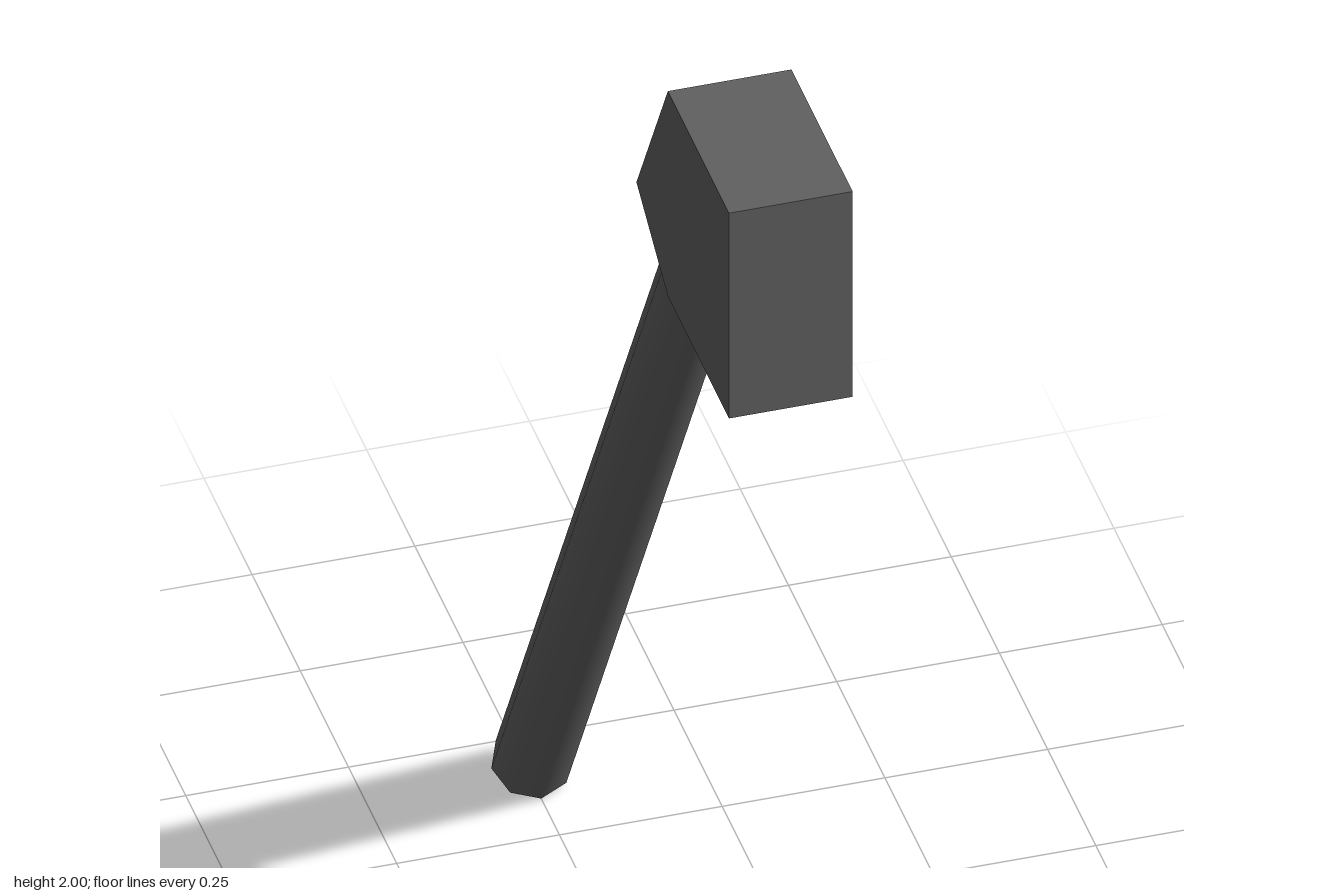
import * as THREE from 'three';

export function createModel() {
  const group = new THREE.Group();
  const darkGrey = new THREE.MeshStandardMaterial({ color: 0x606060 });
  darkGrey.name = 'darkGrey';

  // Head: five-sided side profile (z, y) extruded across the width
  const width = 0.19;
  const profile = [[0.7, 1.625], [0.7, 2], [0.383, 2], [0.22, 1.719], [0.383, 1.625]];
  const shape = new THREE.Shape(profile.map(([z, y]) => new THREE.Vector2(z, y)));
  const headGeometry = new THREE.ExtrudeGeometry(shape, { depth: width, bevelEnabled: false });
  headGeometry.translate(0, 0, -width / 2).rotateY(-Math.PI / 2);
  const head = new THREE.Mesh(headGeometry, darkGrey);
  head.name = 'head';
  group.add(head);

  // Handle: smooth eight-sided rod, leaning 30 degrees into the slanted face of the head
  const radius = 0.061;
  const length = 1.892;
  const handleGeometry = new THREE.CylinderGeometry(radius, radius, length, 8);
  handleGeometry.translate(0, length / 2, 0);
  const handle = new THREE.Mesh(handleGeometry, darkGrey);
  handle.name = 'handle';
  handle.rotation.x = Math.PI / 6;
  handle.position.set(0, radius / 2, -0.7 + radius * Math.cos(Math.PI / 6));
  group.add(handle);

  return group;
}
